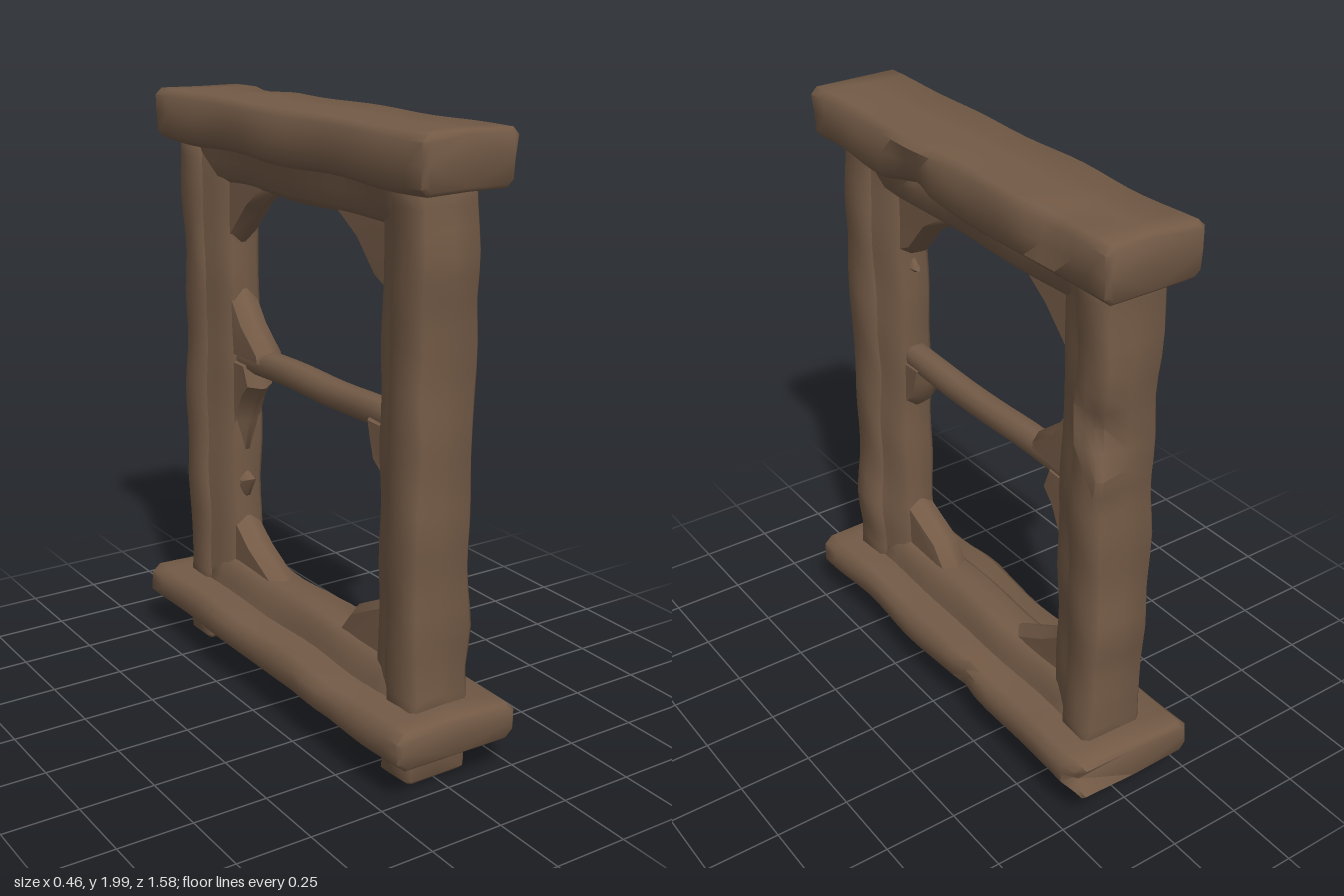
import * as THREE from 'three';
import { toCreasedNormals } from 'three/addons/utils/BufferGeometryUtils.js';

const wood = new THREE.MeshStandardMaterial({ color: 0x735a46 });
wood.name = 'weathered wood';

// Worn spots: centre, radius, push
const dents = [
  [[0.12, 1.36, -0.69], 0.12, [-0.05, 0, 0.06]],
  [[0.12, 1.25, -0.69], 0.06, [0.01, 0, -0.02]],
  [[0.0, 1.6, 0.69], 0.15, [0, 0, 0.03]],
  [[0.0, 0.62, -0.69], 0.14, [0, 0, -0.02]],
  [[0.12, 0.45, 0.62], 0.14, [0.02, 0, 0]],
  [[0.23, 0.19, -0.79], 0.055, [-0.03, 0, 0.06]],
  [[0.22, 0.19, -0.14], 0.09, [-0.02, 0, 0]],
  [[-0.22, 0.19, 0.32], 0.08, [-0.015, 0, 0]],
  [[0.18, 1.83, 0.2], 0.14, [-0.03, 0.02, 0]],
  [[0.18, 1.98, -0.5], 0.12, [-0.02, -0.015, 0]],
];

// Uneven, hand-hewn surface from smooth waves plus the worn spots
function weather(geo, amount) {
  const p = geo.attributes.position;
  for (let i = 0; i < p.count; i++) {
    const x = p.getX(i), y = p.getY(i), z = p.getZ(i);
    let dx = amount * (Math.sin(y * 6.1 + z * 9.3) * 0.6 + Math.sin(y * 17 - z * 13 + x * 9) * 0.5);
    let dy = amount * 0.6 * Math.sin(z * 11 + x * 8 + y * 3) * (y > 1.9 ? 0.5 : 1);
    let dz = amount * (Math.sin(y * 7.7 + x * 11 + z * 2) * 0.5 + Math.sin(y * 21 + z * 5) * 0.4);
    for (const [c, r, push] of dents) {
      const d = Math.hypot(x - c[0], y - c[1], z - c[2]);
      if (d < r) {
        const k = 1 - d / r;
        dx += push[0] * k; dy += push[1] * k; dz += push[2] * k;
      }
    }
    p.setXYZ(i, x + dx, y + dy, z + dz);
  }
  return toCreasedNormals(geo, 0.9);
}

function addMesh(parent, name, geo, amount) {
  const mesh = new THREE.Mesh(weather(geo, amount), wood);
  mesh.name = name;
  parent.add(mesh);
}

// Chamfered timber filling the box min..max, running along 'z' or 'y';
// a positive taper widens it towards +y (or -z for uprights)
function timber(parent, name, min, max, axis, chamfer, amount = 0.007, taper = 0) {
  const size = max.map((v, i) => v - min[i]);
  const [w, h, length] = axis === 'z' ? size : [size[0], size[2], size[1]];
  const a = w / 2, b = h / 2, c = chamfer;
  const outline = [
    [a, 0], [a, b - c], [a - c, b], [0, b], [c - a, b], [-a, b - c],
    [-a, 0], [-a, c - b], [c - a, -b], [0, -b], [a - c, -b], [a, c - b],
  ].map(([u, v]) => new THREE.Vector2(u * (1 + taper * v / b), v));
  const bevel = 0.012;
  const geo = new THREE.ExtrudeGeometry(new THREE.Shape(outline), {
    depth: length - 2 * bevel, steps: Math.max(2, Math.round(length / 0.07)),
    bevelEnabled: true, bevelSize: bevel, bevelThickness: bevel, bevelOffset: -bevel, bevelSegments: 1,
  });
  geo.translate(0, 0, bevel - length / 2);
  if (axis === 'y') geo.rotateX(-Math.PI / 2);
  geo.translate(...max.map((v, i) => (v + min[i]) / 2));
  addMesh(parent, name, geo, amount);
}

// Wedge-edged web of wood drawn as [z, y] points, centred on x = 0
function web(parent, name, points, thickness) {
  const shape = new THREE.Shape(points.map(q => new THREE.Vector2(...q)));
  const bevel = thickness * 0.42;
  const geo = new THREE.ExtrudeGeometry(shape, {
    depth: thickness - 2 * bevel, bevelEnabled: true, bevelSize: 0.025,
    bevelThickness: bevel, bevelOffset: -0.025, bevelSegments: 1,
  });
  geo.translate(0, 0, bevel - thickness / 2).rotateY(-Math.PI / 2);
  addMesh(parent, name, geo, 0.004);
}

export function createModel() {
  const group = new THREE.Group();
  group.name = 'windowFrame';

  // Outer timbers
  timber(group, 'topBeam', [-0.155, 1.825, -0.76], [0.175, 1.995, 0.765], 'z', 0.022);
  timber(group, 'sill', [-0.22, 0.125, -0.785], [0.22, 0.25, 0.785], 'z', 0.028);
  for (const [name, lo, hi] of [['front', 0.54, 0.69], ['back', -0.69, -0.55]]) {
    timber(group, name + 'Post', [-0.108, 0.2, lo], [0.115, 1.86, hi], 'y', 0.018);
    timber(group, name + 'Foot', [-0.11, 0.005, lo], [0.115, 0.17, hi], 'y', 0.015, 0.005);
  }
  // Recessed rail between the feet
  timber(group, 'baseRail', [-0.085, 0.01, -0.6], [0.09, 0.17, 0.6], 'z', 0.02, 0.006, 0.25);

  // Inner frame, narrowing towards the openings
  const inner = new THREE.Group();
  inner.name = 'innerFrame';
  group.add(inner);
  timber(inner, 'frontJamb', [-0.08, 0.22, 0.44], [0.085, 1.85, 0.58], 'y', 0.02, 0.005, -0.25);
  timber(inner, 'backJamb', [-0.08, 0.22, -0.58], [0.085, 1.85, -0.44], 'y', 0.02, 0.005, 0.25);
  timber(inner, 'topRail', [-0.085, 1.70, -0.57], [0.09, 1.85, 0.57], 'z', 0.025, 0.006, 0.22);
  timber(inner, 'bottomRail', [-0.088, 0.2, -0.57], [0.093, 0.35, 0.57], 'z', 0.025, 0.006, -0.25);
  timber(inner, 'crossBar', [-0.04, 1.06, -0.5], [0.045, 1.145, 0.5], 'z', 0.02, 0.006);

  // Ragged corner braces
  const braces = [
    [[0.5, 1.76], [0.5, 1.46], [0.44, 1.49], [0.375, 1.52], [0.29, 1.62], [0.16, 1.70], [0.16, 1.76]],
    [[-0.5, 1.76], [-0.22, 1.76], [-0.22, 1.70], [-0.33, 1.62], [-0.44, 1.50], [-0.5, 1.44]],
    [[-0.5, 1.09], [-0.5, 1.38], [-0.44, 1.34], [-0.37, 1.24], [-0.26, 1.15], [-0.26, 1.09]],
    [[0.5, 0.29], [0.2, 0.29], [0.21, 0.36], [0.28, 0.44], [0.44, 0.52], [0.5, 0.55]],
    [[-0.5, 0.29], [-0.5, 0.56], [-0.44, 0.51], [-0.34, 0.44], [-0.18, 0.35], [-0.18, 0.29]],
    [[0.5, 1.11], [0.34, 1.11], [0.355, 1.04], [0.38, 0.96], [0.44, 0.91], [0.5, 0.85]],
    [[-0.5, 1.11], [-0.5, 0.72], [-0.44, 0.76], [-0.42, 0.87], [-0.375, 0.96], [-0.325, 1.01], [-0.36, 1.11]],
  ];
  braces.forEach((points, i) => web(inner, `cornerBrace${i + 1}`, points, 0.1));

  // Splinters standing out of the jambs
  web(inner, 'backSplinter', [[-0.5, 0.70], [-0.5, 0.55], [-0.43, 0.59], [-0.395, 0.66]], 0.06);
  web(inner, 'frontSplinter', [[0.5, 1.50], [0.44, 1.47], [0.415, 1.43], [0.5, 1.40]], 0.05);

  return group;
}
